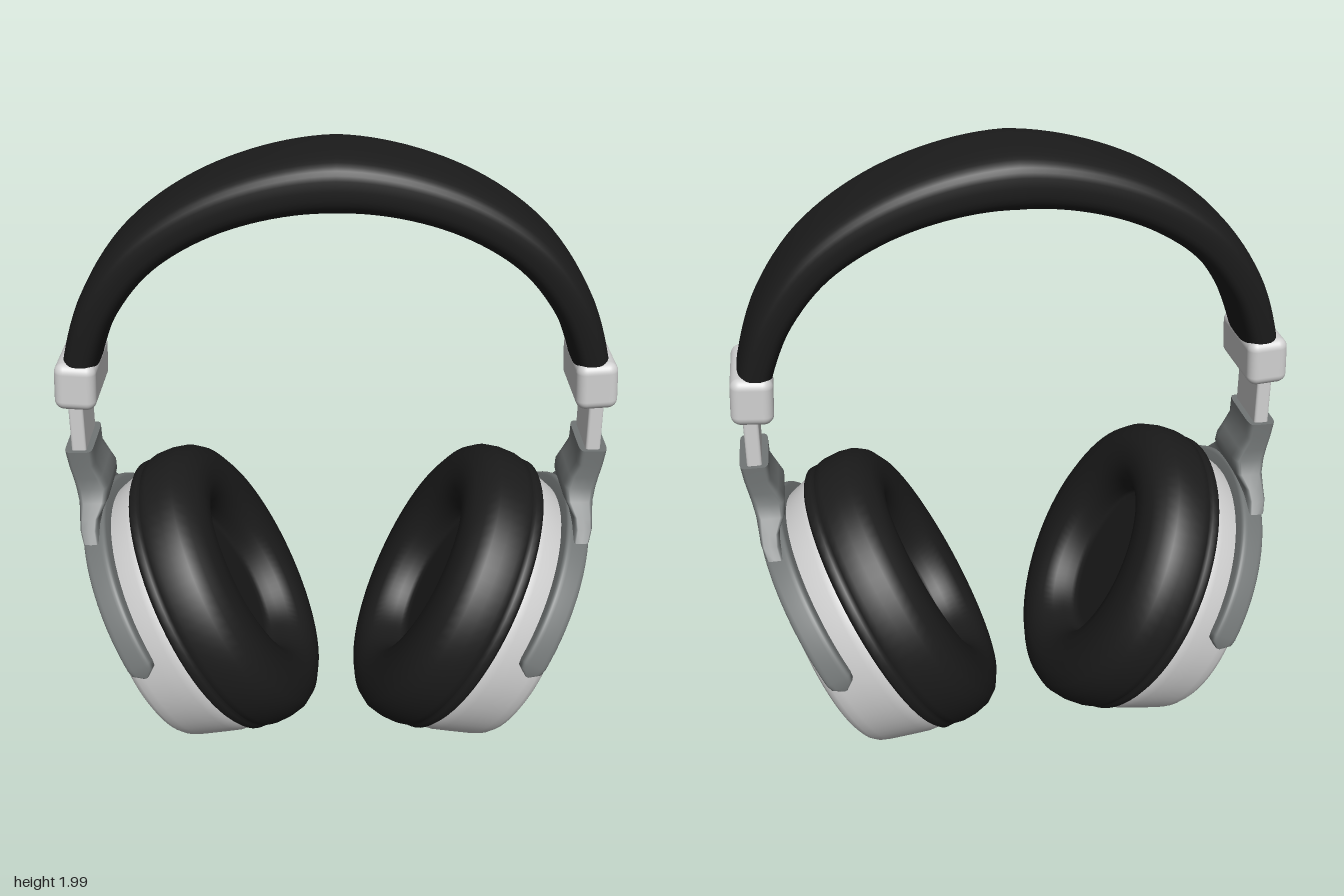
import * as THREE from 'three';
import { mergeVertices } from 'three/addons/utils/BufferGeometryUtils.js';
import { RoundedBoxGeometry } from 'three/addons/geometries/RoundedBoxGeometry.js';

const material = (name, color) => {
  const m = new THREE.MeshStandardMaterial({ color });
  m.name = name;
  return m;
};

// Rounded-rectangle outline (superellipse) with half sizes a and b
function outline(a, b, power, count = 32) {
  const pts = [];
  for (let i = 0; i < count; i++) {
    const t = (i / count) * Math.PI * 2, c = Math.cos(t), s = Math.sin(t);
    pts.push([a * Math.sign(c) * Math.abs(c) ** (2 / power), b * Math.sign(s) * Math.abs(s) ** (2 / power)]);
  }
  return pts;
}

// Skin a row of equal-length rings of Vector3 and cap both ends
function loft(rings) {
  const n = rings[0].length, pos = [], idx = [];
  rings.forEach(r => r.forEach(p => pos.push(p.x, p.y, p.z)));
  for (let i = 0; i < rings.length - 1; i++) {
    for (let j = 0; j < n; j++) {
      const a = i * n + j, b = i * n + (j + 1) % n;
      idx.push(a, b, a + n, b, b + n, a + n);
    }
  }
  [rings[0], rings[rings.length - 1]].forEach((ring, end) => {
    const start = pos.length / 3, mid = new THREE.Vector3();
    ring.forEach(p => { pos.push(p.x, p.y, p.z); mid.addScaledVector(p, 1 / n); });
    pos.push(mid.x, mid.y, mid.z);
    for (let j = 0; j < n; j++) {
      const a = start + j, b = start + (j + 1) % n;
      idx.push(...(end ? [a, b, start + n] : [b, a, start + n]));
    }
  });
  // Turn the skin outward if its enclosed volume is negative
  const v = i => new THREE.Vector3().fromArray(pos, i * 3);
  let volume = 0;
  for (let i = 0; i < idx.length; i += 3) volume += v(idx[i]).dot(v(idx[i + 1]).cross(v(idx[i + 2])));
  if (volume < 0) idx.reverse();
  const g = new THREE.BufferGeometry();
  g.setAttribute('position', new THREE.Float32BufferAttribute(pos, 3));
  g.setIndex(idx);
  g.computeVertexNormals();
  return g;
}

// Turned shape around y, with a rule moving each vertex
function turned(profile, rule) {
  let g = new THREE.LatheGeometry(profile.map(([r, y]) => new THREE.Vector2(r, y)), 72);
  g.deleteAttribute('uv');
  g.deleteAttribute('normal');
  const p = g.attributes.position, v = new THREE.Vector3();
  for (let i = 0; i < p.count; i++) {
    rule(v.fromBufferAttribute(p, i));
    p.setXYZ(i, v.x, v.y, v.z);
  }
  g = mergeVertices(g, 1e-5);
  g.computeVertexNormals();
  return g;
}

function mirrored(geo) {
  const g = geo.clone().scale(-1, 1, 1);
  g.index.array.reverse();
  return g;
}

export function createModel() {
  const model = new THREE.Group();
  model.name = 'headphones';
  const black = material('black leather', 0x1b1b1b);
  const silver = material('silver', 0xd0d0d0);
  const grey = material('grey metal', 0x717575);

  const add = (name, geo, mat) => {
    const mesh = new THREE.Mesh(geo, mat);
    mesh.name = name;
    model.add(mesh);
  };
  const addPair = (name, geo, mat) => {
    const g = geo.index ? geo : mergeVertices(geo);
    add(name + 'Left', g, mat);
    add(name + 'Right', mirrored(g), mat);
  };

  // Padded headband, thicker and wider at the crown
  const half = [[0.766, 1.335], [0.754, 1.385], [0.692, 1.54], [0.558, 1.71], [0.32, 1.85]];
  const path = new THREE.CatmullRomCurve3([
    ...half.map(([x, y]) => new THREE.Vector3(-x, y, 0)),
    new THREE.Vector3(0, 1.912, 0),
    ...half.slice().reverse().map(([x, y]) => new THREE.Vector3(x, y, 0)),
  ]);
  const bandRings = [];
  for (let i = 0; i <= 64; i++) {
    const t = i / 64, s = Math.abs(2 * t - 1);
    const c = path.getPointAt(t), d = path.getTangentAt(t);
    const thick = THREE.MathUtils.lerp(0.0875, 0.052, s);
    const wide = THREE.MathUtils.lerp(0.179, 0.127, s ** 1.6);
    bandRings.push(outline(thick, wide, 3.2, 40).map(([a, b]) =>
      new THREE.Vector3(c.x - d.y * a, c.y + d.x * a, b)));
  }
  add('headband', loft(bandRings), black);

  // Collars and sliding bars below the headband
  addPair('collar', new RoundedBoxGeometry(0.124, 0.148, 0.28, 5, 0.03)
    .rotateZ(0.07).translate(0.774, 1.302, 0), silver);
  addPair('slider', new RoundedBoxGeometry(0.045, 0.26, 0.18, 2, 0.008)
    .rotateZ(0.02).translate(0.788, 1.15, 0), silver);

  // Yoke stem, flaring downward: x, y, half width, half thickness
  const stem = [
    [0.791, 1.073, 0.105, 0.043], [0.787, 1.02, 0.103, 0.04], [0.773, 0.98, 0.104, 0.046],
    [0.761, 0.945, 0.108, 0.051], [0.758, 0.905, 0.128, 0.045], [0.766, 0.87, 0.165, 0.032],
    [0.765, 0.845, 0.195, 0.03], [0.755, 0.815, 0.225, 0.028],
  ];
  addPair('yokeStem', loft(stem.map(([x, y, w, t]) =>
    outline(t, w, 7).map(([a, b]) => new THREE.Vector3(x + a, y, b)))), grey);

  // Cup frame: local y points out through the cup, local -x points up along it
  const place = (g, degrees = -116) =>
    g.rotateZ(THREE.MathUtils.degToRad(degrees)).translate(0.272, 0.557, 0);

  // Yoke arms hugging the upper half of the cup, with rounded tips
  const armRings = [];
  for (let i = 0; i <= 60; i++) {
    const k = i / 30 - 1;
    const th = THREE.MathUtils.degToRad(81) * k, cos = Math.cos(th), sin = Math.sin(th);
    const tip = Math.sqrt(Math.max(0.03, 1 - Math.max(0, (Math.abs(k) - 0.94) / 0.06) ** 2));
    const r = 0.453 + 0.004 * cos;
    armRings.push(outline((0.025 + 0.004 * cos) * (0.6 + 0.4 * tip), 0.04 * tip, 5).map(([a, b]) =>
      new THREE.Vector3(-(r + a) * cos, 0.302 + 0.016 * cos + b, (r + a) * sin)));
  }
  addPair('yokeArms', place(loft(armRings)), grey);

  // Ear cup shell, its outer face leaning slightly
  const shell = [
    [0.3, 0.17], [0.455, 0.172], [0.464, 0.185], [0.462, 0.215], [0.448, 0.27], [0.432, 0.33],
    [0.422, 0.358], [0.409, 0.375], [0.392, 0.385], [0.37, 0.389], [0.2, 0.39], [0, 0.39],
  ];
  addPair('earCup', place(turned(shell, v => {
    v.y += Math.max(0, (v.y - 0.2) / 0.19) * 0.055 * v.x;
  })), silver);

  // Cushion with an oval opening and a mounting lip at the back
  const pad = [
    [0, 0.09], [0.21, 0.09], [0.235, 0.088], [0.239, 0.075], [0.24, 0.045], [0.252, 0.012],
    [0.277, -0.016], [0.315, -0.031], [0.36, -0.035], [0.405, -0.028], [0.445, -0.004],
    [0.467, 0.028], [0.477, 0.07], [0.479, 0.115], [0.475, 0.137], [0.466, 0.144],
    [0.473, 0.152], [0.473, 0.172], [0.463, 0.182], [0.4, 0.184],
  ];
  addPair('earPad', place(turned(pad, v => {
    const inner = 1 - THREE.MathUtils.smoothstep(Math.hypot(v.x, v.z), 0.24, 0.44);
    v.x = v.x * (1.025 + 0.09 * inner) - 0.008;
    v.z *= 1 - 0.08 * inner;
  }), -117.2), black);

  return model;
}
